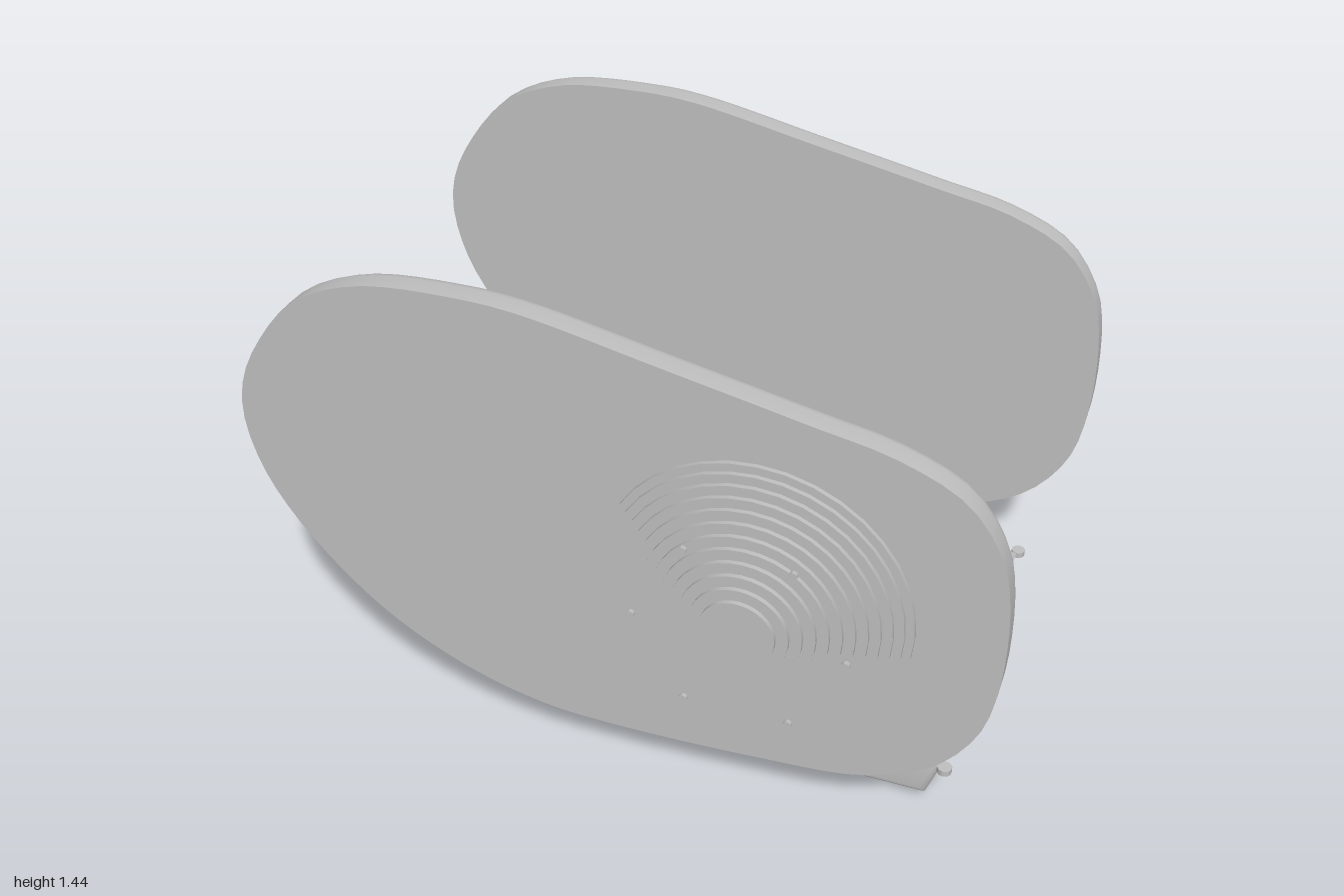
import * as THREE from 'three';
import { toCreasedNormals } from 'three/addons/utils/BufferGeometryUtils.js';

const metal = new THREE.MeshStandardMaterial({ color: 0xc0c0c0 });
metal.name = 'light grey metal';

// Side cover outline, counter-clockwise seen from the front
const OUTLINE = [
  [-1, 0.95], [-0.96, 0.78], [-0.85, 0.6], [-0.65, 0.4], [-0.42, 0.27], [-0.2, 0.207],
  [0, 0.195], [0.4, 0.21], [0.68, 0.242], [0.85, 0.325], [0.96, 0.47], [1, 0.64],
  [1, 0.9], [0.97, 1.03], [0.88, 1.16], [0.72, 1.24], [0.5, 1.288], [0.15, 1.36],
  [-0.2, 1.43], [-0.35, 1.44], [-0.62, 1.42], [-0.8, 1.34], [-0.92, 1.2], [-0.985, 1.07],
];

function part(parent, name, geometry, x = 0, y = 0, z = 0) {
  const mesh = new THREE.Mesh(geometry, metal);
  mesh.name = name;
  mesh.position.set(x, y, z);
  parent.add(mesh);
  return mesh;
}

// Flat plate with a sharp front rim and a rounded rear rim; front face at z = 0
function coverGeometry(depth = 0.092, round = 0.04) {
  const curve = new THREE.CatmullRomCurve3(
    OUTLINE.map(([x, y]) => new THREE.Vector3(x, y, 0)), true, 'centripetal');
  const n = 96;
  const layers = [];
  for (let k = 0; k <= 6; k++) {
    const a = (k / 6) * Math.PI / 2;
    layers.push([round * (1 - Math.sin(a)), -depth + round * (1 - Math.cos(a))]);
  }
  layers.push([0, 0]);
  const pos = [], index = [];
  for (const [inset, z] of layers) {
    for (let i = 0; i < n; i++) {
      const p = curve.getPointAt(i / n), t = curve.getTangentAt(i / n);
      pos.push(p.x - t.y * inset, p.y + t.x * inset, z);
    }
  }
  const back = pos.length / 3, front = back + 1, last = (layers.length - 1) * n;
  pos.push(0, 0.8, -depth, 0, 0.8, 0);
  for (let i = 0; i < n; i++) {
    const j = (i + 1) % n;
    for (let k = 0; k < last; k += n) {
      index.push(k + i, k + j, k + n + j, k + i, k + n + j, k + n + i);
    }
    index.push(back, j, i, front, last + i, last + j);
  }
  const g = new THREE.BufferGeometry();
  g.setAttribute('position', new THREE.Float32BufferAttribute(pos, 3));
  g.setIndex(index);
  return toCreasedNormals(g, 0.7);
}

// Stepped dome of stacked discs, facing +z
function domeGeometry(height) {
  const steps = 12, points = [];
  for (let i = 0; i < steps; i++) {
    const r = 0.4 - 0.305 * Math.pow(i / (steps - 1), 1.1);
    points.push(new THREE.Vector2(r, i ? height * i / steps : -0.01));
    points.push(new THREE.Vector2(r, height * (i + 1) / steps));
  }
  points.push(new THREE.Vector2(0, height));
  const g = new THREE.LatheGeometry(points, 36);
  g.rotateX(Math.PI / 2);
  return toCreasedNormals(g, 0.6);
}

// Tray with sloping ends and softened long edges
function panGeometry() {
  const b = 0.022;
  const shape = new THREE.Shape([
    [-0.448, 0.035 + b], [0.802, 0.035 + b], [0.838, 0.175 - b], [-0.508, 0.175 - b],
  ].map(([x, y]) => new THREE.Vector2(x, y)));
  const g = new THREE.ExtrudeGeometry(shape, {
    depth: 0.94 - 2 * b, bevelEnabled: true, bevelSize: b, bevelThickness: b, bevelSegments: 4,
  });
  g.translate(0, 0, -0.47 + b);
  return toCreasedNormals(g, 0.6);
}

export function createModel() {
  const model = new THREE.Group();
  model.name = 'engineCovers';

  // Two identical plates, each with a dome facing outward
  const cover = coverGeometry();
  part(model, 'frontCover', cover, 0, 0, 0.655);
  part(model, 'rearCover', cover, 0, 0, -0.552);
  part(model, 'frontDome', domeGeometry(0.145), 0.39, 0.75, 0.655);
  part(model, 'rearDome', domeGeometry(0.177), 0.39, 0.75, -0.643).rotation.y = Math.PI;

  // Small bolts in a circle ahead of the front dome
  const smallBolt = new THREE.CylinderGeometry(0.011, 0.011, 0.01, 8).rotateX(Math.PI / 2);
  for (let i = 0; i < 6; i++) {
    const a = i * Math.PI / 3;
    part(model, 'domeBolt', smallBolt, 0.395 + 0.268 * Math.cos(a), 0.75 + 0.268 * Math.sin(a), 0.813);
  }

  // Pan with its rows of bolts and drain plug
  part(model, 'pan', panGeometry());
  const panBolt = toCreasedNormals(new THREE.CylinderGeometry(0.02, 0.02, 0.018, 10), 0.8);
  for (const side of [-1, 1]) {
    for (let i = 0; i < 6; i++) part(model, 'panBolt', panBolt, -0.535 + i * 0.28, 0.157, side * 0.478);
  }
  const plug = toCreasedNormals(new THREE.CylinderGeometry(0.04, 0.04, 0.04, 6), 0.5);
  part(model, 'drainPlug', plug, 0.165, 0.02, 0);

  return model;
}
